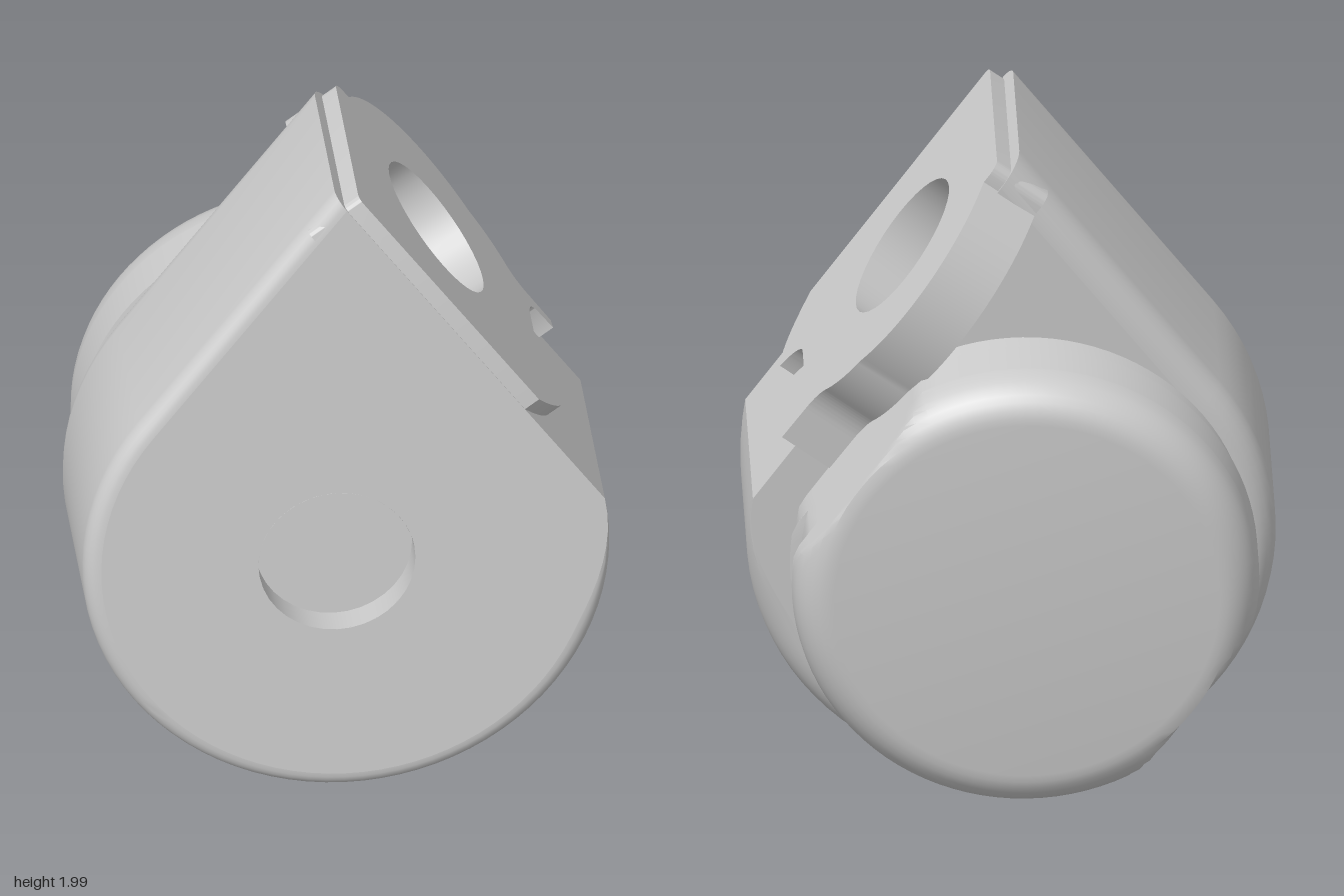
import * as THREE from 'three';
import { toCreasedNormals } from 'three/addons/utils/BufferGeometryUtils.js';

const V2 = (x, y) => new THREE.Vector2(x, y);
const material = new THREE.MeshStandardMaterial({ color: 0xcccccc, side: THREE.DoubleSide });

const R = 0.755;                        // round part of the teardrop housing
const DEPTH = 0.67;
const FLAT = 0.687;                     // distance of the flat side from the centre
const FLAT_ANGLE = THREE.MathUtils.degToRad(36.3);
const SLOPE_ANGLE = THREE.MathUtils.degToRad(142);
const NORMAL = V2(Math.cos(FLAT_ANGLE), Math.sin(FLAT_ANGLE));
const ALONG = V2(-NORMAL.y, NORMAL.x);  // up along the flat side

function add(parent, name, geometry, z = 0) {
  const mesh = new THREE.Mesh(geometry, material);
  mesh.name = name;
  mesh.position.z = z;
  parent.add(mesh);
  return mesh;
}

function circleHole(x, y, r) {
  return new THREE.Path().absarc(x, y, r, 0, Math.PI * 2, true);
}

// Teardrop outline, open along the flat side; the inset f fades out at the flat's lower corner
function outline(f) {
  const pts = [], steps = 56;
  const start = FLAT_ANGLE - Math.acos(FLAT / R);
  const end = SLOPE_ANGLE - Math.PI * 2;
  for (let i = 0; i <= steps; i++) {
    const a = start + (end - start) * i / steps;
    const r = R - f * THREE.MathUtils.smoothstep(i, 0, 9);
    pts.push(V2(r * Math.cos(a), r * Math.sin(a)));
  }
  // Tip: where the sloping side meets the flat
  const n = V2(Math.cos(SLOPE_ANGLE), Math.sin(SLOPE_ANGLE));
  const det = n.x * NORMAL.y - n.y * NORMAL.x, r = R - f;
  pts.push(V2((r * NORMAL.y - n.y * FLAT) / det, (n.x * FLAT - NORMAL.x * r) / det));
  return pts;
}

// Depth and inset of each section, with rounded rear and front edges
function housingSections() {
  const rows = [], n = 6, rear = 0.09, front = 0.05;
  for (let i = 0; i <= n; i++) {
    const a = i / n * Math.PI / 2;
    rows.push([-DEPTH + rear * (1 - Math.cos(a)), rear * (1 - Math.sin(a))]);
  }
  for (let i = 0; i <= n; i++) {
    const a = i / n * Math.PI / 2;
    rows.push([-front * (1 - Math.sin(a)), front * (1 - Math.cos(a))]);
  }
  return rows;
}

function loftGeometry(sections) {
  const positions = [], index = [];
  let n = 0;
  for (const [z, f] of sections) {
    const pts = outline(f);
    n = pts.length;
    pts.forEach(p => positions.push(p.x, p.y, z));
  }
  for (let i = 0; i < sections.length - 1; i++) {
    for (let j = 0; j < n - 1; j++) {
      const a = i * n + j, b = a + n;
      index.push(a, b, a + 1, a + 1, b, b + 1);
    }
  }
  const g = new THREE.BufferGeometry();
  g.setAttribute('position', new THREE.Float32BufferAttribute(positions, 3));
  g.setIndex(index);
  return toCreasedNormals(g, 0.7);
}

// Rear cap: turned profile, trimmed by two parallel flats, with a shallow side slot
function capGeometry() {
  const pts = [V2(0, -1.055)];
  for (let i = 0; i <= 8; i++) {
    const a = i / 8 * Math.PI / 2;
    pts.push(V2(0.55 + 0.115 * Math.sin(a), -0.935 - 0.12 * Math.cos(a)));
  }
  for (const [r, z] of [[0.667, -0.92], [0.667, -0.915], [0.667, -0.775], [0.667, -0.77],
    [0.65, -0.768], [0.65, -0.6]]) pts.push(V2(r, z));
  const g = new THREE.LatheGeometry(pts, 96).rotateX(Math.PI / 2);
  const p = g.attributes.position;
  for (let i = 0; i < p.count; i++) {
    let x = p.getX(i), y = p.getY(i);
    const z = p.getZ(i), a = Math.atan2(y, x);
    if (z > -0.918 && z < -0.772 && a > -0.92 && a < 0.66) { x *= 0.955; y *= 0.955; }
    const d = x * NORMAL.x + y * NORMAL.y;
    const over = d - THREE.MathUtils.clamp(d, -0.593, 0.593);
    p.setXY(i, x - over * NORMAL.x, y - over * NORMAL.y);
  }
  return toCreasedNormals(g, 0.5);
}

// Mounting plate drawn in (distance along the flat, depth)
function plateGeometry(hole) {
  const s = new THREE.Shape();
  s.moveTo(0.935, -0.03);
  s.lineTo(0.935, -0.63);
  s.quadraticCurveTo(0.935, -0.66, 0.9, -0.665);
  s.lineTo(0.87, -0.665);
  s.absarc(hole.x, hole.y, 0.447, -0.59, -2.1, true);
  s.quadraticCurveTo(0.17, -0.79, 0.1, -0.72);
  s.quadraticCurveTo(0.06, -0.685, 0.0, -0.685);
  s.lineTo(-0.105, -0.68);
  s.lineTo(-0.11, -0.645);
  s.lineTo(-0.03, -0.64);
  s.quadraticCurveTo(0.01, -0.63, 0.015, -0.57);
  s.lineTo(0.015, -0.3);
  s.quadraticCurveTo(0, -0.25, -0.09, -0.225);
  s.quadraticCurveTo(-0.08, -0.12, 0.07, -0.002);
  s.lineTo(0.91, -0.002);
  s.quadraticCurveTo(0.935, -0.002, 0.935, -0.03);
  s.holes.push(circleHole(hole.x, hole.y, hole.r));
  const g = new THREE.ExtrudeGeometry(s, { depth: 0.18, bevelEnabled: false, curveSegments: 18 });
  return toCreasedNormals(g.translate(0, 0, -0.13), 0.5);
}

export function createModel() {
  const model = new THREE.Group();
  model.name = 'clampHousing';
  const tilted = new THREE.Group();
  tilted.name = 'tiltedAssembly';
  tilted.position.set(-0.02, 0.81, 0.525);
  tilted.rotation.set(-0.095, 0.045, 0);
  model.add(tilted);

  // Teardrop housing
  const housing = new THREE.Group();
  housing.name = 'housing';
  housing.position.x = 0.03;
  tilted.add(housing);
  const sections = housingSections();
  add(housing, 'housingWall', loftGeometry(sections));
  const frontShape = new THREE.Shape(outline(0.05));
  frontShape.holes.push(circleHole(-0.03, 0, 0.225));
  add(housing, 'housingFront', new THREE.ShapeGeometry(frontShape, 32));
  add(housing, 'housingBack', new THREE.ShapeGeometry(new THREE.Shape(outline(0.09))), -DEPTH);

  // Flat side with its blind hole and mounting plate
  const side = new THREE.Group();
  side.name = 'flatSide';
  const basis = new THREE.Matrix4().makeBasis(
    new THREE.Vector3(ALONG.x, ALONG.y, 0),
    new THREE.Vector3(0, 0, 1),
    new THREE.Vector3(NORMAL.x, NORMAL.y, 0));
  side.quaternion.setFromRotationMatrix(basis);
  side.position.set(NORMAL.x * FLAT, NORMAL.y * FLAT, 0);
  housing.add(side);
  const hole = { x: 0.49, y: -0.427, r: 0.225 };
  const bottom = outline(0)[0].dot(ALONG);
  const tips = sections.map(([z, f]) => V2(outline(f).pop().dot(ALONG), z));
  const flatShape = new THREE.Shape([V2(bottom, 0), V2(bottom, -DEPTH), ...tips]);
  flatShape.holes.push(circleHole(hole.x, hole.y, hole.r));
  add(side, 'flatFace', new THREE.ShapeGeometry(flatShape, 18));
  add(side, 'mountingPlate', plateGeometry(hole));
  const floor = add(side, 'mountingHoleFloor', new THREE.CircleGeometry(hole.r, 36));
  floor.position.set(hole.x, hole.y, -0.1);

  // Front ring and recessed centre
  add(tilted, 'frontRing', new THREE.RingGeometry(0.225, 0.45, 64), 0.004);
  const bore = new THREE.CylinderGeometry(0.225, 0.225, 0.094, 36, 1, true).rotateX(Math.PI / 2);
  add(tilted, 'centreRecessWall', bore, -0.043);
  add(tilted, 'centreRecessFloor', new THREE.CircleGeometry(0.225, 36), -0.09);

  // Rear cap
  add(tilted, 'rearCap', capGeometry());
  return model;
}
